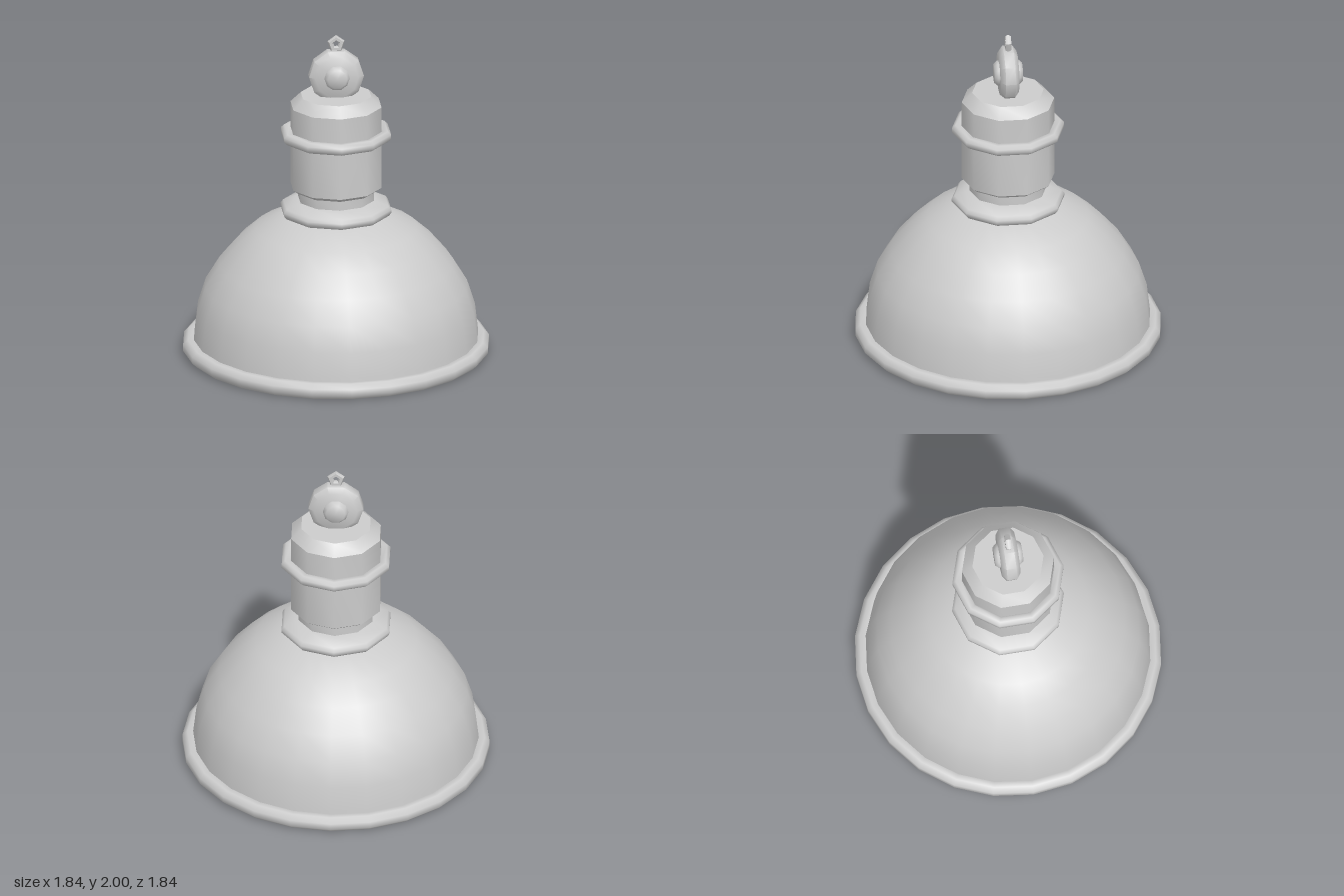
import * as THREE from 'three';
import { toCreasedNormals } from 'three/addons/utils/BufferGeometryUtils.js';

export function createModel() {
  const model = new THREE.Group();
  const material = new THREE.MeshStandardMaterial({ color: 0xcccccc });

  function addPart(name, geometry, parent = model, crease = 1) {
    const mesh = new THREE.Mesh(toCreasedNormals(geometry, crease), material);
    mesh.name = name;
    parent.add(mesh);
    return mesh;
  }

  // Turned part from [radius, height] points running upwards on the outside
  function turned(profile, sides, start = 0) {
    const points = profile.map(([r, y]) => new THREE.Vector2(r, y));
    return new THREE.LatheGeometry(points, sides, start);
  }

  // Ring with a rounded, eight-sided section
  function roll(radius, y, halfWidth, halfHeight, sides) {
    const profile = [];
    for (let i = 0; i <= 8; i++) {
      const a = ((i + 0.5) * Math.PI) / 4;
      profile.push([
        radius + (halfWidth * Math.cos(a)) / Math.cos(Math.PI / 8),
        y + (halfHeight * Math.sin(a)) / Math.cos(Math.PI / 8),
      ]);
    }
    return turned(profile, sides);
  }

  // Domed shade: outer skin, then a slightly smaller inner skin
  const dome = [
    [0.86, 0.06], [0.853, 0.12], [0.836, 0.27], [0.788, 0.42],
    [0.703, 0.56], [0.595, 0.687], [0.485, 0.785], [0.315, 0.87], [0, 0.9],
  ];
  const inner = dome.map(([r, y]) => [r * 0.978, y > 0.1 ? y - 0.013 : y]).reverse();
  addPart('shade', turned([...dome, ...inner], 24));

  // Rolled rim around the mouth of the shade
  addPart('shadeRim', roll(0.87, 0.049, 0.05, 0.048, 24));

  // Collar and neck between shade and housing
  addPart('collar', turned([
    [0.2, 0.862], [0.285, 0.865], [0.322, 0.875], [0.339, 0.895],
    [0.339, 0.915], [0.322, 0.935], [0.245, 0.965], [0, 0.967],
  ], 10));
  addPart('neck', turned([[0.232, 0.94], [0.232, 1.04]], 10));

  // Housing with chamfered ends
  addPart('housing', turned([
    [0, 1.027], [0.248, 1.027], [0.279, 1.05], [0.279, 1.56], [0.216, 1.622], [0, 1.622],
  ], 10), model, 0.7);
  addPart('housingBand', roll(0.302, 1.377, 0.036, 0.033, 10));

  // Bulb hanging inside the shade
  addPart('bulb', turned([
    [0, 0.385], [0.08, 0.4], [0.14, 0.45], [0.165, 0.53], [0.14, 0.63],
    [0.09, 0.71], [0.08, 0.89],
  ], 10));

  // Hanger wheel and hub, turned about the z axis
  const hanger = new THREE.Group();
  hanger.name = 'hanger';
  hanger.position.y = 1.745;
  model.add(hanger);
  const wheel = turned([
    [0, -0.055], [0.13, -0.055], [0.165, -0.03], [0.165, 0.03], [0.13, 0.055], [0, 0.055],
  ], 10, Math.PI / 2);
  addPart('hangerWheel', wheel.rotateX(Math.PI / 2), hanger);
  const hub = turned([
    [0, -0.085], [0.058, -0.085], [0.076, -0.065], [0.076, 0.065], [0.058, 0.085], [0, 0.085],
  ], 10, Math.PI / 2);
  addPart('hangerHub', hub.rotateX(Math.PI / 2), hanger);

  // Five-sided eyelet at the top
  const eyelet = new THREE.TorusGeometry(0.036, 0.019, 6, 5).rotateZ(Math.PI / 2);
  addPart('eyelet', eyelet).position.y = 1.945;

  return model;
}
